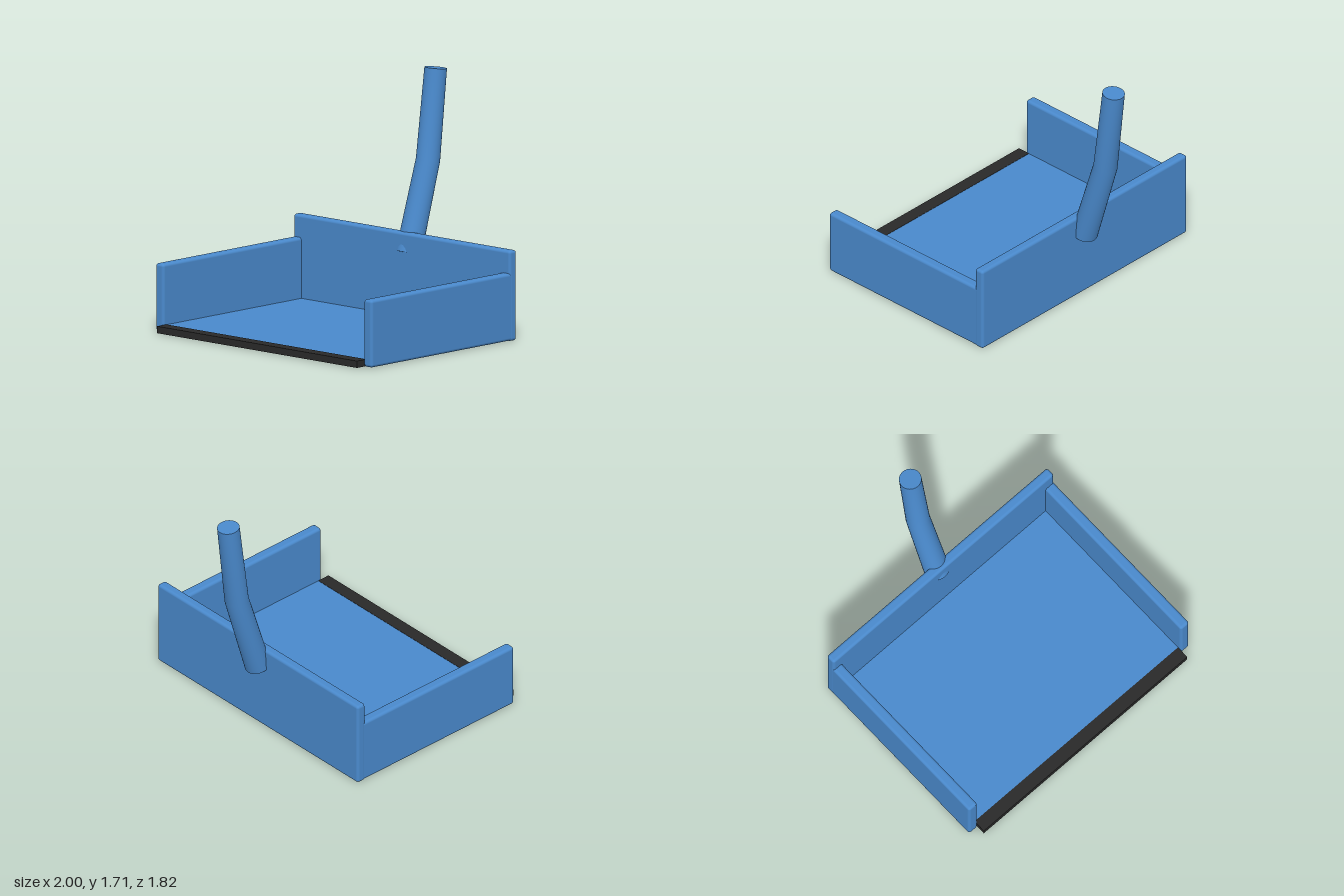
import * as THREE from 'three';
import { RoundedBoxGeometry } from 'three/addons/geometries/RoundedBoxGeometry.js';

const blue = new THREE.MeshStandardMaterial({ name: 'blue plastic', color: 0x4a8acd });
const black = new THREE.MeshStandardMaterial({ name: 'black rubber', color: 0x2a2a2a });

// Box given by its lower and upper corners, with optional rounded edges
function slab(name, material, min, max, radius = 0) {
  const [w, h, d] = max.map((v, i) => v - min[i]);
  const geometry = radius ? new RoundedBoxGeometry(w, h, d, 3, radius) : new THREE.BoxGeometry(w, h, d);
  const mesh = new THREE.Mesh(geometry, material);
  mesh.name = name;
  mesh.position.set(...max.map((v, i) => (v + min[i]) / 2));
  return mesh;
}

// Tapered tube bent once: each ring is scaled, leaned back and moved into place
function bentHandle() {
  const rings = [
    { y: 0.465, z: -0.57, r: 0.088, lean: 0.294 },
    { y: 1.08, z: -0.76, r: 0.082, lean: 0.21 },
    { y: 1.697, z: -0.835, r: 0.076, lean: 0.115 },
  ];
  const geometry = new THREE.CylinderGeometry(1, 1, 2, 32, 2);
  const { position, normal } = geometry.attributes;
  const axis = new THREE.Vector3(1, 0, 0);
  const v = new THREE.Vector3();
  for (let i = 0; i < position.count; i++) {
    const ring = rings[Math.round(position.getY(i)) + 1];
    v.fromBufferAttribute(position, i).setY(0).multiplyScalar(ring.r).applyAxisAngle(axis, -ring.lean);
    position.setXYZ(i, v.x, v.y + ring.y, v.z + ring.z);
    v.fromBufferAttribute(normal, i).applyAxisAngle(axis, -ring.lean);
    normal.setXYZ(i, v.x, v.y, v.z);
  }
  const mesh = new THREE.Mesh(geometry, blue);
  mesh.name = 'handle';
  return mesh;
}

export function createModel() {
  const model = new THREE.Group();
  model.name = 'dustpan';
  // Pan
  model.add(slab('floor', blue, [-0.93, 0.002, -0.54], [0.93, 0.048, 0.82]));
  model.add(slab('backWall', blue, [-1, 0, -0.57], [1, 0.617, -0.5], 0.02));
  model.add(slab('leftWall', blue, [0.923, 0.003, -0.567], [0.999, 0.463, 0.85], 0.02));
  model.add(slab('rightWall', blue, [-0.999, 0.003, -0.567], [-0.923, 0.463, 0.85], 0.02));
  // Rubber edge along the open front
  model.add(slab('frontLip', black, [-0.923, 0.003, 0.82], [0.923, 0.05, 0.912]));
  model.add(bentHandle());
  return model;
}
